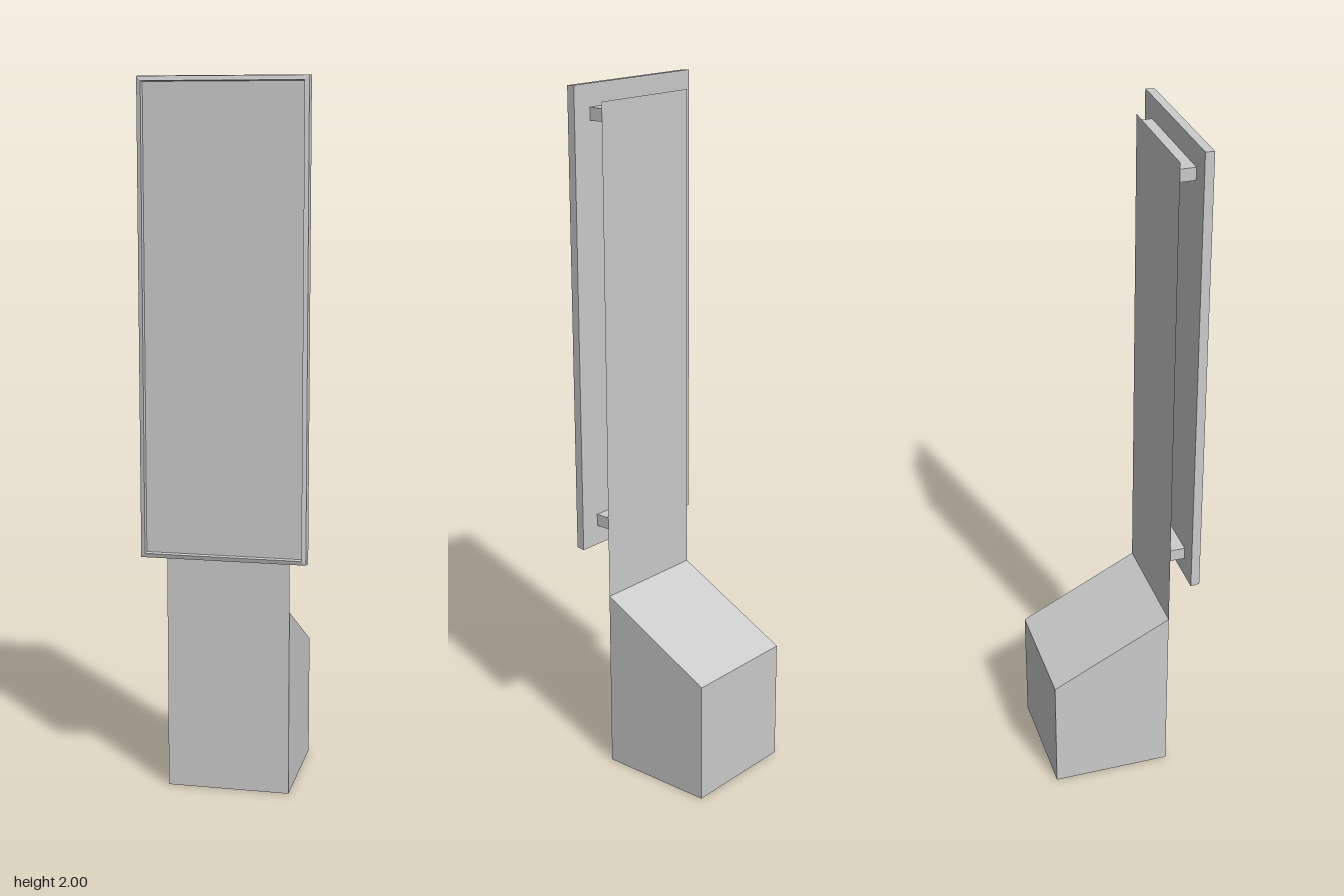
import * as THREE from 'three';

const grey = new THREE.MeshStandardMaterial({ color: 0xcccccc, flatShading: true });
const greyDouble = new THREE.MeshStandardMaterial({ color: 0xcccccc, flatShading: true, side: THREE.DoubleSide });

const WIDTH = 0.35;    // width of base, back plate and mounting bars
const PLATE_Z = 0.138; // plane shared by the base front and the back plate

function addMesh(group, name, geometry, material = grey) {
  const mesh = new THREE.Mesh(geometry, material);
  mesh.name = name;
  group.add(mesh);
  return mesh;
}

// Closed solid from rectangular loops [inset, z], listed from back to front
function rectangularLoft(width, height, loops) {
  const positions = [];
  const corners = loops.map(([inset, z]) => {
    const x = width / 2 - inset, y = height / 2 - inset;
    return [[-x, -y, z], [x, -y, z], [x, y, z], [-x, y, z]];
  });
  const quad = (a, b, c, d) => positions.push(...a, ...b, ...c, ...a, ...c, ...d);
  for (let i = 0; i < corners.length - 1; i++) {
    const back = corners[i], front = corners[i + 1];
    for (let k = 0; k < 4; k++) {
      const n = (k + 1) % 4;
      quad(back[k], back[n], front[n], front[k]);
    }
  }
  const [b0, b1, b2, b3] = corners[0];
  quad(b3, b2, b1, b0);
  quad(...corners[corners.length - 1]);
  const geometry = new THREE.BufferGeometry();
  geometry.setAttribute('position', new THREE.Float32BufferAttribute(positions, 3));
  geometry.computeVertexNormals();
  return geometry;
}

export function createModel() {
  const model = new THREE.Group();
  model.name = 'displayStand';

  // Base block with a top sloping down to the back (profile drawn as -z, y)
  const profile = new THREE.Shape([
    new THREE.Vector2(-PLATE_Z, 0),
    new THREE.Vector2(0.21, 0),
    new THREE.Vector2(0.21, 0.355),
    new THREE.Vector2(-PLATE_Z, 0.535),
  ]);
  const base = new THREE.ExtrudeGeometry(profile, { depth: WIDTH, bevelEnabled: false });
  base.translate(0, 0, -WIDTH / 2).rotateY(Math.PI / 2);
  addMesh(model, 'base', base);

  // Thin upright plate rising from the front of the base
  const plateBottom = 0.535, plateTop = 1.955;
  const plate = addMesh(model, 'backPlate',
    new THREE.PlaneGeometry(WIDTH, plateTop - plateBottom), greyDouble);
  plate.position.set(0, (plateTop + plateBottom) / 2, PLATE_Z);

  // Two bars holding the screen off the plate
  const barDepth = 0.181 - PLATE_Z;
  for (const [name, y] of [['lowerMountingBar', 0.763], ['upperMountingBar', 1.92]]) {
    const bar = addMesh(model, name, new THREE.BoxGeometry(WIDTH, 0.035, barDepth));
    bar.position.set(0, y, PLATE_Z + barDepth / 2);
  }

  // Screen panel: tapered sides, chamfered rim and recessed front
  const screen = addMesh(model, 'screenPanel', rectangularLoft(0.468, 1.312, [
    [0, 0.181],
    [0.002, 0.207],
    [0.014, 0.211],
    [0.016, 0.198],
  ]));
  screen.position.y = 1.344;

  return model;
}
